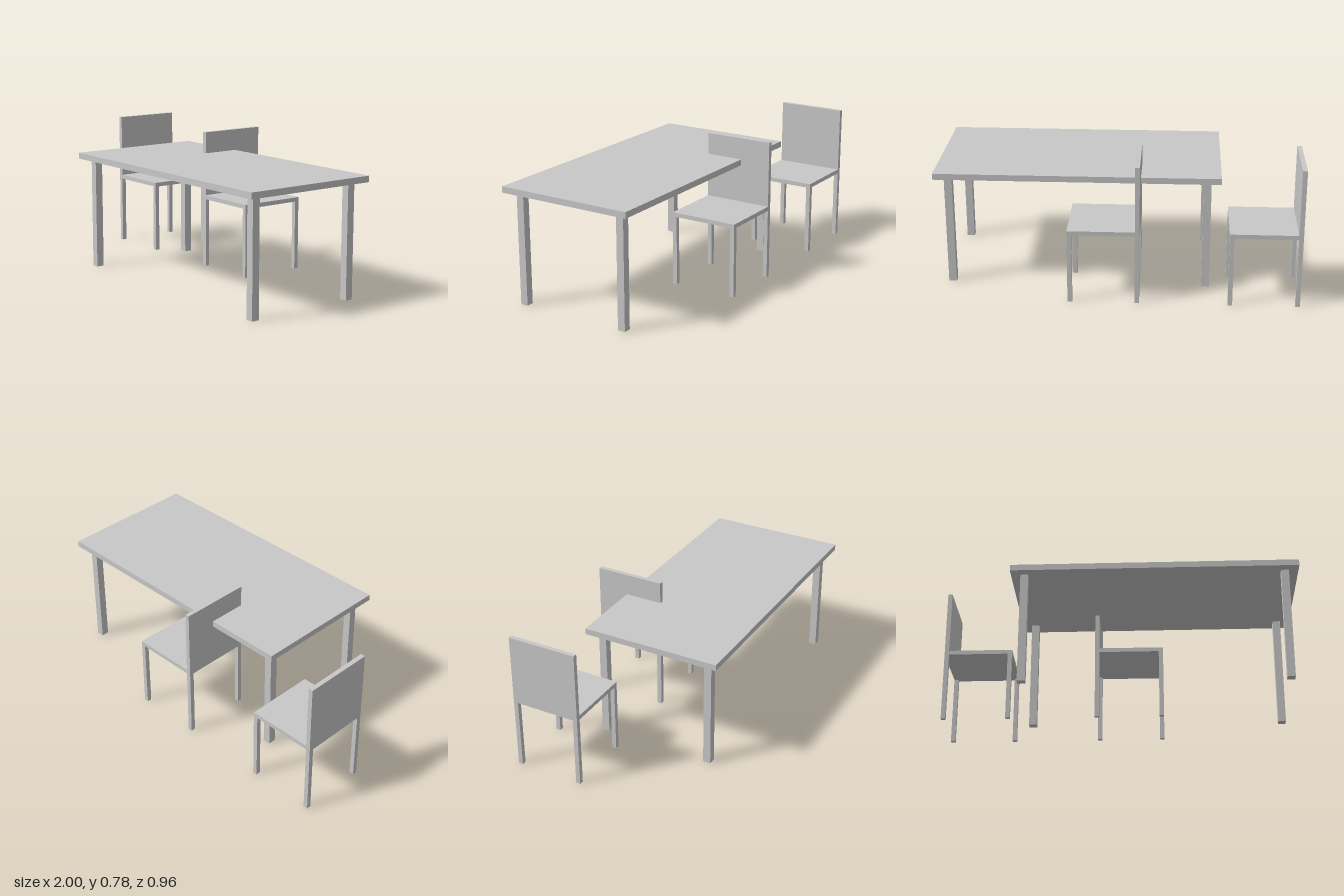
import * as THREE from 'three';

export function createModel() {
  const model = new THREE.Group();
  model.name = 'diningSet';
  const grey = new THREE.MeshStandardMaterial({ color: 0xc8c8c8 });
  grey.name = 'light grey';

  // Box given by its minimum and maximum corners
  function box(parent, name, [x0, y0, z0], [x1, y1, z1]) {
    const mesh = new THREE.Mesh(new THREE.BoxGeometry(x1 - x0, y1 - y0, z1 - z0), grey);
    mesh.position.set((x0 + x1) / 2, (y0 + y1) / 2, (z0 + z1) / 2);
    mesh.name = name;
    parent.add(mesh);
  }

  // Four square legs set in from the edges of a w by d rectangle
  function legs(parent, name, w, d, height, size, inset) {
    const x = w / 2 - inset - size / 2, z = d / 2 - inset - size / 2, h = size / 2;
    for (const sx of [-1, 1]) for (const sz of [-1, 1]) {
      box(parent, name, [sx * x - h, 0, sz * z - h], [sx * x + h, height, sz * z + h]);
    }
  }

  // Table
  const table = new THREE.Group();
  table.name = 'table';
  table.position.set(0.218, 0, 0.088);
  box(table, 'tableTop', [-0.782, 0.629, -0.391], [0.782, 0.663, 0.391]);
  legs(table, 'tableLeg', 1.564, 0.782, 0.629, 0.043, 0.052);
  model.add(table);

  // Chairs facing +x, the second one pushed under the table
  for (const x of [-0.805, 0.064]) {
    const chair = new THREE.Group();
    chair.name = 'chair';
    chair.position.set(x, 0, -0.284);
    const r = 0.195;
    box(chair, 'seat', [-r, 0.394, -r], [r, 0.418, r]);
    box(chair, 'backrest', [-r, 0.418, -r], [-r + 0.025, 0.784, r]);
    legs(chair, 'chairLeg', 2 * r, 2 * r, 0.394, 0.025, 0);
    model.add(chair);
  }
  return model;
}
